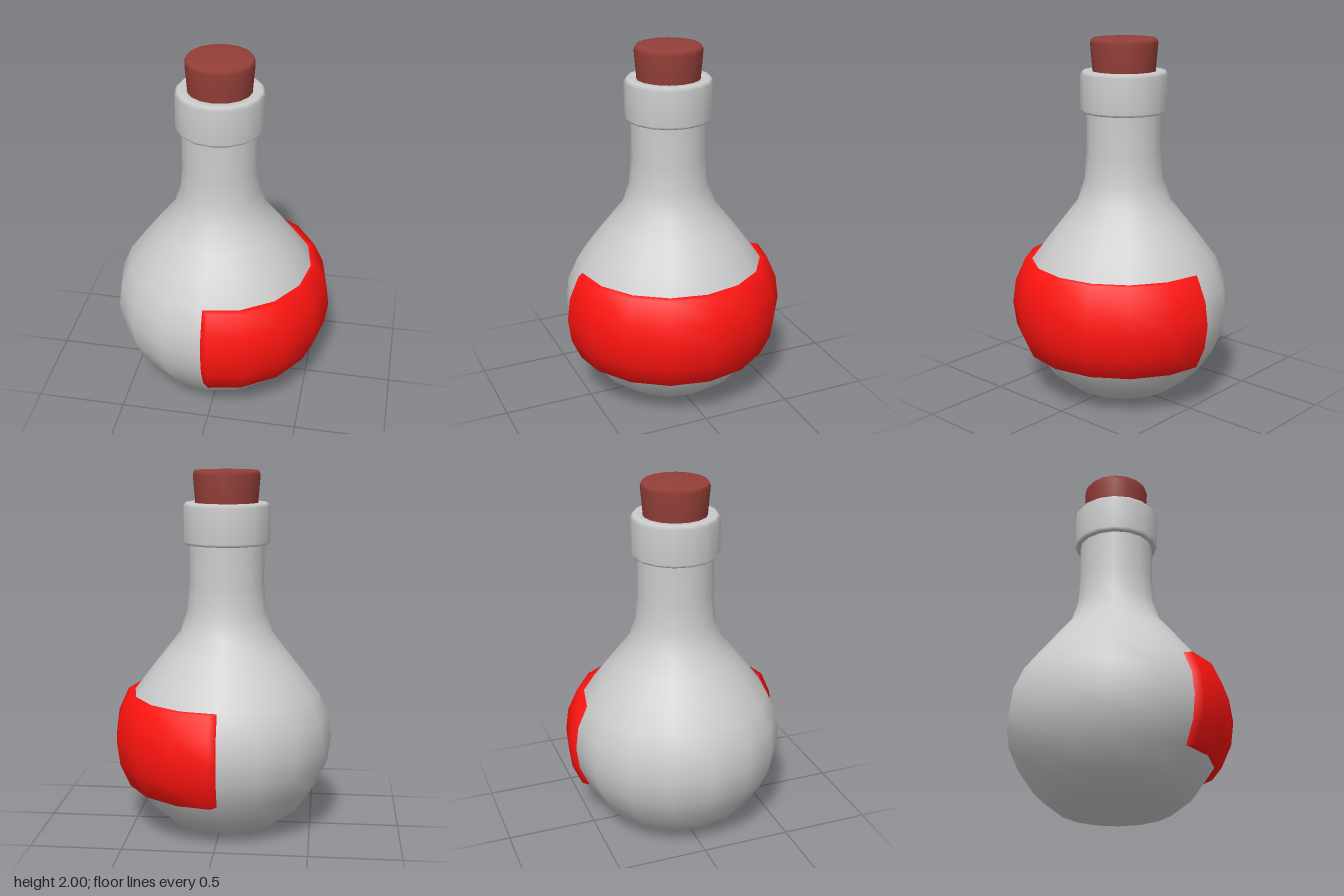
import * as THREE from 'three';

const SIDES = 16;
const AXIS_X = -0.02; // the label on +x pushes the bottle slightly off centre

const grey = new THREE.MeshStandardMaterial({ color: 0xcccccc });
const red = new THREE.MeshStandardMaterial({ color: 0xff1410 });
const brown = new THREE.MeshStandardMaterial({ color: 0x943f38 });

// Turned part from [radius, height] pairs, listed from bottom to top
function turned(name, profile, material) {
  const points = profile.map(([r, y]) => new THREE.Vector2(r, y));
  const mesh = new THREE.Mesh(new THREE.LatheGeometry(points, SIDES), material);
  mesh.name = name;
  return mesh;
}

// Half band around the belly: each row is [outer radius, body radius, height].
// The first and last columns drop back to the body, closing the two ends.
function labelGeometry(rows) {
  const arcs = SIDES / 2, bevel = 0.035;
  const geometry = new THREE.LatheGeometry(rows.map(([r, , y]) => new THREE.Vector2(r, y)), arcs + 2);
  const position = geometry.attributes.position;
  for (let col = 0; col <= arcs + 2; col++) {
    const step = THREE.MathUtils.clamp(col - 1, 0, arcs);
    const angle = step * Math.PI / arcs;
    const isCap = col === 0 || col === arcs + 2;
    const isEnd = step === 0 || step === arcs;
    rows.forEach(([outer, inner, y], row) => {
      const r = isCap ? inner : outer;
      const shift = isEnd && !isCap && outer > inner ? bevel : 0;
      const z = r * Math.cos(angle) * (shift ? 0.99 : 1);
      position.setXYZ(col * rows.length + row, r * Math.sin(angle) + shift, y, z);
    });
  }
  geometry.computeVertexNormals();
  return geometry;
}

export function createModel() {
  const group = new THREE.Group();
  group.name = 'corkedFlask';

  // Round belly flowing into a straight neck
  const body = turned('body', [
    [0, 0], [0.15, 0.002], [0.31, 0.037], [0.43, 0.13], [0.52, 0.26], [0.575, 0.385], [0.592, 0.515],
    [0.575, 0.645], [0.52, 0.77], [0.43, 0.89], [0.34, 1.005], [0.258, 1.11], [0.22, 1.23],
    [0.208, 1.38], [0.208, 1.62],
  ], grey);

  // Bevelled lip, open at the top to take the cork
  const lip = turned('lip', [
    [0.2, 1.6], [0.228, 1.6], [0.24, 1.615], [0.24, 1.805], [0.225, 1.825],
    [0.18, 1.825], [0.165, 1.81], [0.165, 1.65],
  ], grey);

  // Tapered cork
  const cork = turned('cork', [
    [0, 1.68], [0.155, 1.68], [0.172, 1.82], [0.185, 1.975], [0.175, 1.998], [0, 2],
  ], brown);

  // Raised label over the +x half of the belly
  const label = new THREE.Mesh(labelGeometry([
    [0.518, 0.518, 0.262], [0.56, 0.52, 0.262], [0.615, 0.575, 0.385], [0.632, 0.592, 0.515],
    [0.615, 0.575, 0.645], [0.56, 0.52, 0.77], [0.518, 0.518, 0.77],
  ]), red);
  label.name = 'label';

  group.add(body, lip, cork, label);
  group.children.forEach((part) => { part.position.x = AXIS_X; });
  return group;
}
